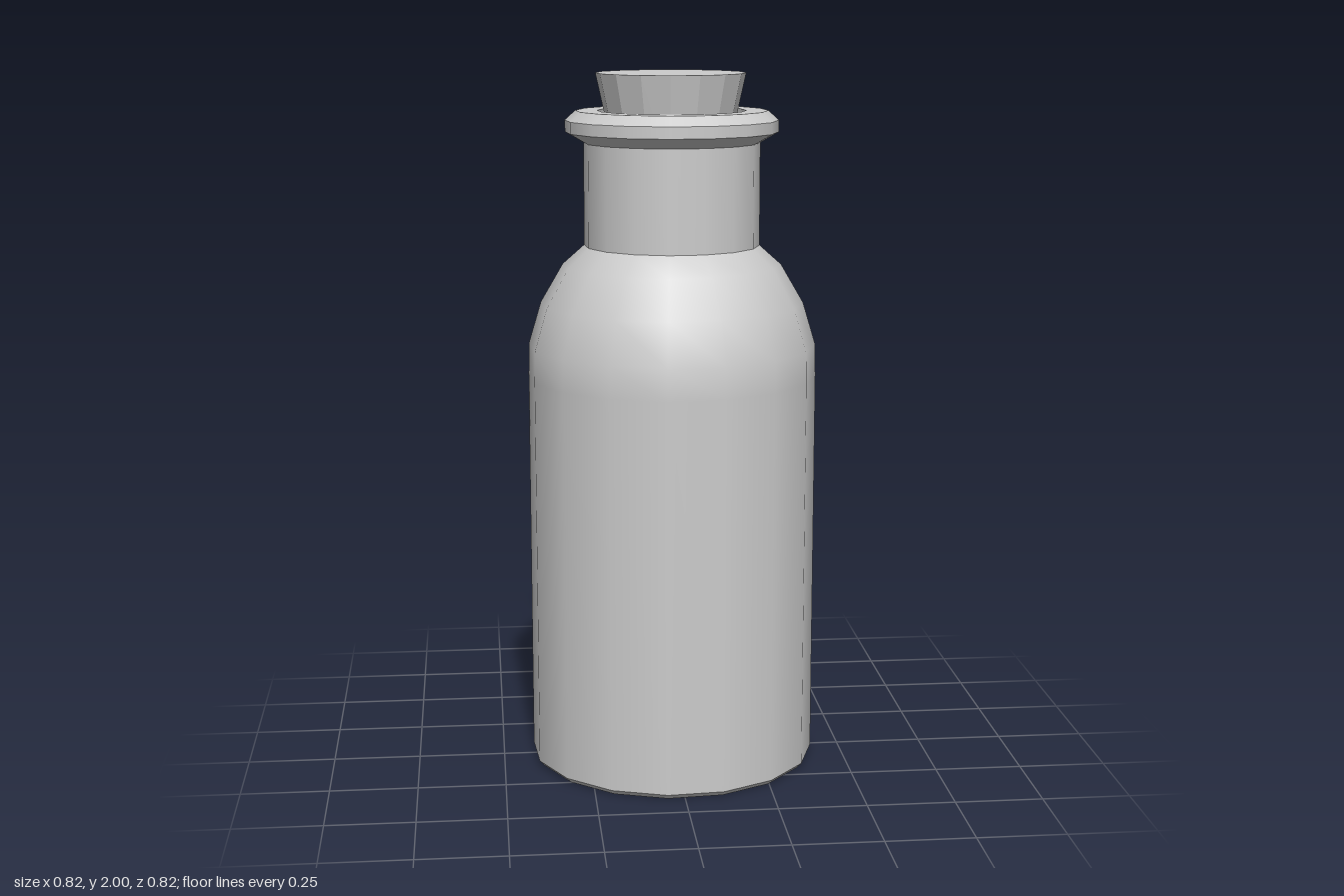
import * as THREE from 'three';

const SIDES = 16;
const material = new THREE.MeshStandardMaterial({ color: 0xcccccc });
const corkMaterial = new THREE.MeshStandardMaterial({ color: 0xcccccc, flatShading: true });

// Revolve a profile of [radius, height] points, listed along the outer wall from bottom to top.
function turned(name, profile, phase = 15.6, mat = material) {
  const points = profile.map(([r, y]) => new THREE.Vector2(r, y));
  const geometry = new THREE.LatheGeometry(points, SIDES, THREE.MathUtils.degToRad(phase));
  const mesh = new THREE.Mesh(geometry, mat);
  mesh.name = name;
  return mesh;
}

// A group of single bands, so that every edge between them stays sharp.
function sharpBands(name, profile, phase, mat) {
  const group = new THREE.Group();
  group.name = name;
  for (let i = 0; i < profile.length - 1; i++) {
    group.add(turned(name + 'Band' + i, [profile[i], profile[i + 1]], phase, mat));
  }
  return group;
}

export function createModel() {
  const bottle = new THREE.Group();
  bottle.name = 'corkedBottle';

  // Flat base with a narrow bevel
  bottle.add(sharpBands('base', [[0, 0], [0.4, 0], [0.414, 0.015]]));

  // Straight wall rising into a rounded shoulder
  bottle.add(turned('body', [
    [0.414, 0.015], [0.414, 1.14], [0.412, 1.23], [0.376, 1.35], [0.312, 1.46], [0.25, 1.515],
  ]));

  // Neck
  bottle.add(turned('neck', [[0.25, 1.515], [0.25, 1.81]]));

  // Bevelled lip, turning inwards to the mouth, with the inner wall closed below the cork
  bottle.add(sharpBands('lip', [
    [0.25, 1.805], [0.302, 1.835], [0.302, 1.868], [0.272, 1.895],
    [0.21, 1.895], [0.21, 1.72], [0, 1.72],
  ], 16));

  // Tapered cork, faceted, set into the mouth
  const cork = sharpBands('cork', [[0, 1.74], [0.155, 1.74], [0.212, 2], [0, 2]], 17, corkMaterial);
  cork.position.set(-0.003, 0, 0.001);
  bottle.add(cork);

  return bottle;
}
